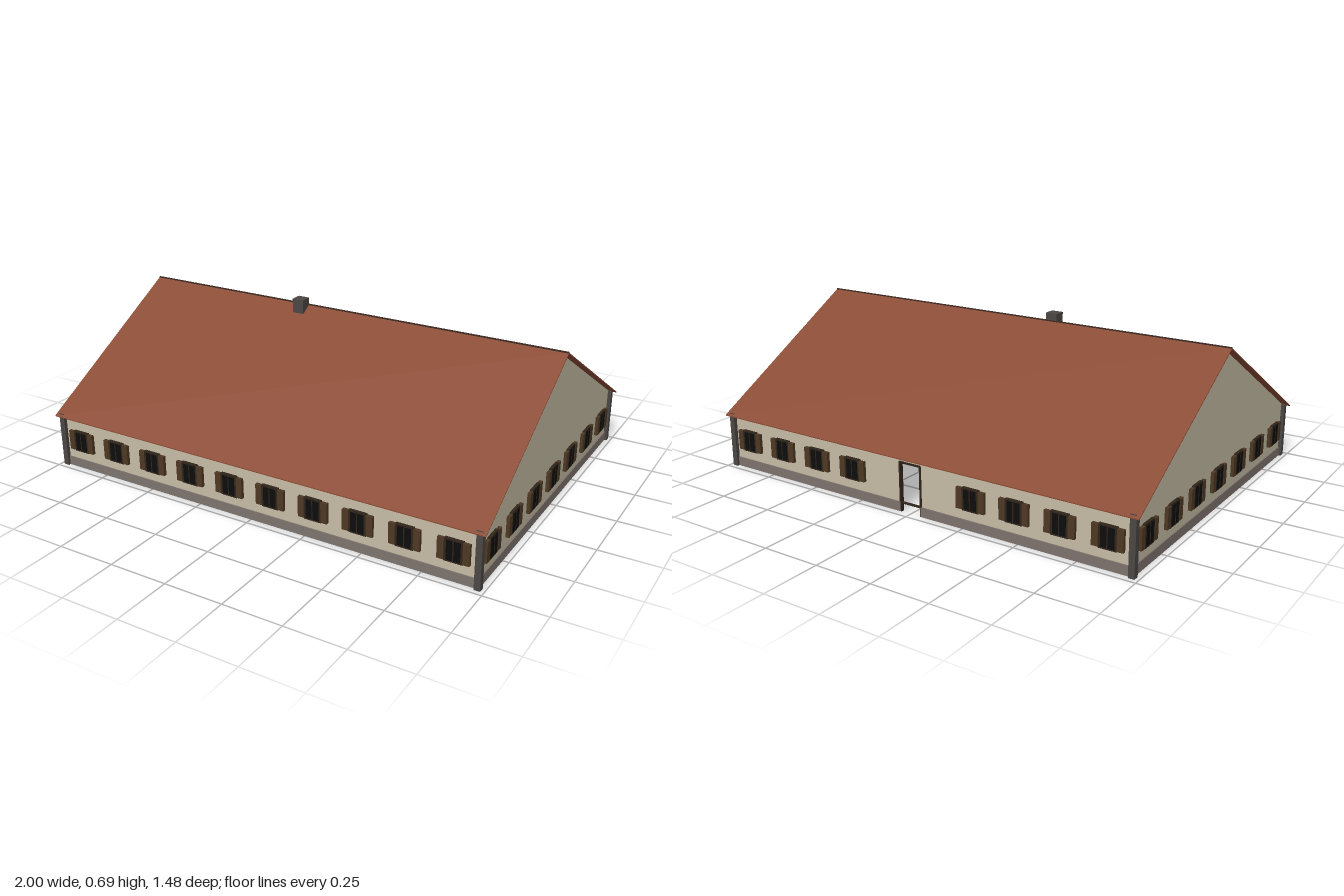
import * as THREE from 'three';

const mat = (name, color) => {
  const m = new THREE.MeshStandardMaterial({ color });
  m.name = name;
  return m;
};

export function createModel() {
  const cream = mat('cream plaster', 0xc6bca5);
  const tan = mat('tan plaster', 0xc09756);
  const stone = mat('foundation stone', 0x7d736d);
  const postGrey = mat('dark grey', 0x4b4744);
  const tile = mat('roof tile', 0x8a4b34);
  const trim = mat('ridge brown', 0x3c2a22);
  const shutterWood = mat('shutter wood', 0x4e3823);
  const frameWood = mat('frame wood', 0x30251a);
  const glass = mat('dark glass', 0x0d0d0d);
  tile.side = THREE.DoubleSide;

  const house = new THREE.Group();
  house.name = 'longHouse';

  function add(parent, name, geometry, material, x = 0, y = 0, z = 0) {
    const mesh = new THREE.Mesh(geometry, material);
    mesh.name = name;
    mesh.position.set(x, y, z);
    parent.add(mesh);
    return mesh;
  }
  const box = (parent, name, m, w, h, d, x, y, z) =>
    add(parent, name, new THREE.BoxGeometry(w, h, d), m, x, y, z);
  const shapeOf = (pts) => new THREE.Shape(pts.map(([x, y]) => new THREE.Vector2(x, y)));
  // Plate from an outline, centred on its own thickness
  const plate = (pts, depth) =>
    new THREE.ExtrudeGeometry(shapeOf(pts), { depth, bevelEnabled: false }).translate(0, 0, -depth / 2);

  // Shuttered window, facing +z before it is turned
  function addWindow(parent, x, y, z, turn) {
    const g = new THREE.Group();
    g.name = 'window';
    box(g, 'windowFrame', frameWood, 0.074, 0.094, 0.012, 0, 0, 0.006);
    box(g, 'windowPane', glass, 0.056, 0.08, 0.003, 0, 0, 0.0125);
    box(g, 'windowMullion', frameWood, 0.004, 0.08, 0.003, 0, 0, 0.0135);
    for (const s of [-1, 1])
      box(g, 'shutter', shutterWood, 0.027, 0.086, 0.014, s * 0.0505, 0, 0.007);
    g.position.set(x, y, z);
    g.rotation.y = turn;
    parent.add(g);
  }

  // ---- Outer walls ----
  const WX = 0.97, WZ = 0.715, H = 0.24, T = 0.01, DOOR = 0.05;
  box(house, 'frontWall', cream, 2 * WX, H, T, 0, H / 2, WZ - T / 2);
  add(house, 'backWall', plate([
    [-WX, 0], [-DOOR, 0], [-DOOR, 0.21], [DOOR, 0.21], [DOOR, 0], [WX, 0], [WX, H], [-WX, H],
  ], T), cream, 0, 0, -WZ + T / 2);
  for (const s of [-1, 1]) {
    const gable = plate([[-WZ, 0], [WZ, 0], [WZ, H], [0, 0.652], [-WZ, H]], T).rotateY(Math.PI / 2);
    add(house, 'gableWall', gable, cream, s * (WX - T / 2), 0, 0);
    box(house, 'gableFoundation', stone, 0.018, 0.04, 2 * WZ, s * (WX - 0.004), 0.02, 0);
    // Back foundation stops at the doorway
    const half = WX - DOOR;
    box(house, 'backFoundation', stone, half, 0.04, 0.018, s * (DOOR + half / 2), 0.02, -WZ + 0.004);
    box(house, 'doorJamb', frameWood, 0.008, 0.21, 0.016, s * DOOR, 0.105, -WZ + 0.004);
    for (const t of [-1, 1])
      box(house, 'cornerPost', postGrey, 0.025, H, 0.025, s * 0.973, H / 2, t * 0.718);
  }
  box(house, 'frontFoundation', stone, 2 * WX, 0.04, 0.018, 0, 0.02, WZ - 0.004);
  box(house, 'doorLintel', frameWood, 2 * DOOR, 0.008, 0.016, 0, 0.208, -WZ + 0.004);
  box(house, 'doorThreshold', frameWood, 2 * DOOR, 0.005, 0.012, 0, 0.036, -WZ + 0.005);

  // Ten windows in front, eight behind, seven in each gable
  for (let i = 0; i < 10; i++) {
    const x = (i - 4.5) * 0.1945;
    addWindow(house, x, 0.128, WZ, 0);
    if (i !== 4 && i !== 5) addWindow(house, x, 0.128, -WZ, Math.PI);
  }
  for (let i = -3; i <= 3; i++)
    for (const s of [-1, 1])
      addWindow(house, s * WX, 0.128, i * 0.205, s * Math.PI / 2);

  // ---- Roof ----
  const roof = plate([
    [-0.74, 0.232], [-0.74, 0.228], [0, 0.656], [0.74, 0.228], [0.74, 0.232], [0, 0.661],
  ], 2).rotateY(Math.PI / 2);
  add(house, 'roof', roof, tile);
  box(house, 'ridge', trim, 2, 0.008, 0.008, 0, 0.659, 0);
  box(house, 'chimney', postGrey, 0.052, 0.065, 0.05, -0.197, 0.66, 0.026);

  // ---- Two-storey block beneath the roof ----
  const block = new THREE.Group();
  block.name = 'innerBlock';
  block.position.x = -0.06;
  house.add(block);
  const BX = 0.6, BZ = 0.145, BH = 0.5;
  for (const s of [-1, 1]) {
    box(block, 'innerLongWall', tan, 2 * BX, BH, T, 0, BH / 2, s * (BZ - T / 2));
    box(block, 'innerEndWall', tan, T, BH, 2 * BZ, s * (BX - T / 2), BH / 2, 0);
    box(block, 'innerLongFoundation', stone, 2 * BX, 0.04, 0.018, 0, 0.02, s * (BZ - 0.004));
    box(block, 'innerEndFoundation', stone, 0.018, 0.04, 2 * BZ, s * (BX - 0.004), 0.02, 0);
    for (const y of [0.24, 0.492]) {
      box(block, 'longBeltBeam', frameWood, 2 * BX, 0.016, 0.008, 0, y, s * (BZ + 0.003));
      box(block, 'endBeltBeam', frameWood, 0.008, 0.016, 2 * BZ, s * (BX + 0.003), y, 0);
    }
    for (const t of [-1, 1])
      box(block, 'innerCornerPost', postGrey, 0.025, BH, 0.025, s * (BX + 0.002), BH / 2, t * (BZ + 0.002));
    for (const y of [0.128, 0.36]) {
      addWindow(block, s * BX, y, 0, s * Math.PI / 2);
      for (let i = 0; i < 6; i++) {
        const middle = i === 2 || i === 3;
        if (s < 0 && y < 0.2 && middle) continue;
        addWindow(block, (i - 2.5) * 0.195, y, s * BZ, s > 0 ? 0 : Math.PI);
      }
    }
  }
  box(block, 'innerDoor', frameWood, 0.09, 0.19, 0.01, 0, 0.125, -BZ - 0.004);

  return house;
}
